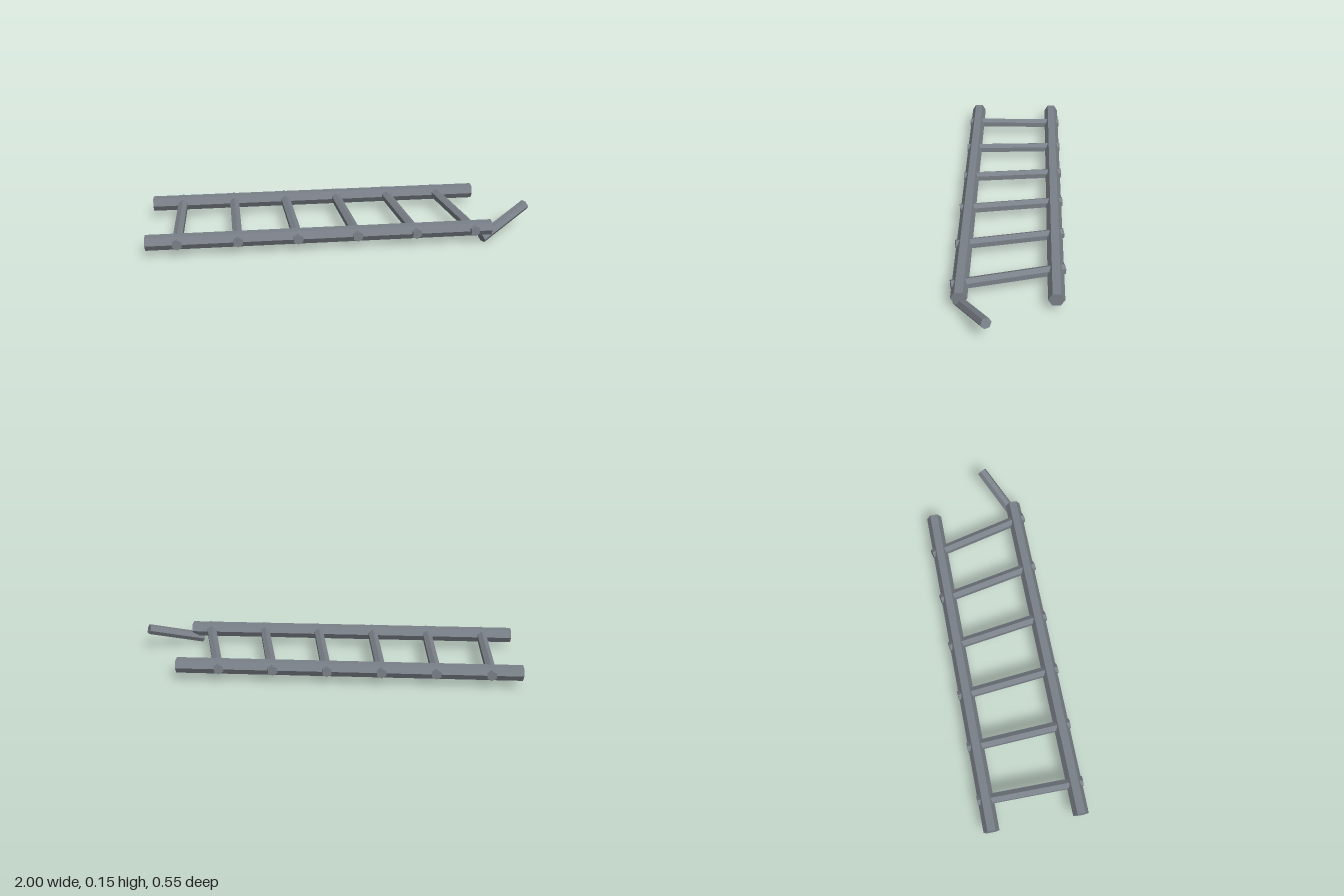
import * as THREE from 'three';

export function createModel() {
  const model = new THREE.Group();
  model.name = 'brokenLadder';
  const grey = new THREE.MeshStandardMaterial({ color: 0x7a8088 });
  grey.name = 'weatheredGrey';
  grey.flatShading = true;

  // Six-sided bar between two points; corner is the direction of one hexagon corner
  function addBar(name, from, to, radius, corner) {
    const a = new THREE.Vector3(...from), b = new THREE.Vector3(...to);
    const axis = b.clone().sub(a);
    const length = axis.length();
    axis.normalize();
    const z = new THREE.Vector3(...corner);
    z.addScaledVector(axis, -z.dot(axis)).normalize();
    const x = axis.clone().cross(z);
    const mesh = new THREE.Mesh(new THREE.CylinderGeometry(radius, radius, length, 6), grey);
    mesh.name = name;
    mesh.quaternion.setFromRotationMatrix(new THREE.Matrix4().makeBasis(x, axis, z));
    mesh.position.copy(a).add(b).multiplyScalar(0.5);
    model.add(mesh);
  }

  // Long side rails
  const y = 0.08;
  addBar('frontRail', [-1, y, 0.226], [0.77, y, 0.226], 0.04, [0, 0, 1]);
  addBar('backRail', [-1, y, -0.226], [0.77, y, -0.226], 0.04, [0, 0, 1]);

  // Rungs, each leaning a little more than the last
  for (let i = 0; i < 6; i++) {
    const front = -0.84 + i * 0.304, back = -0.84 + i * 0.277;
    addBar('rung' + (i + 1), [back, y, -0.27], [front, y, 0.27], 0.0275, [0, 1, 0]);
  }

  // Loose rung sticking out past the end
  addBar('looseRung', [0.722, 0.023, 0.236], [0.985, 0.133, 0.088], 0.0275, [0.485, 0, 0.874]);

  return model;
}
